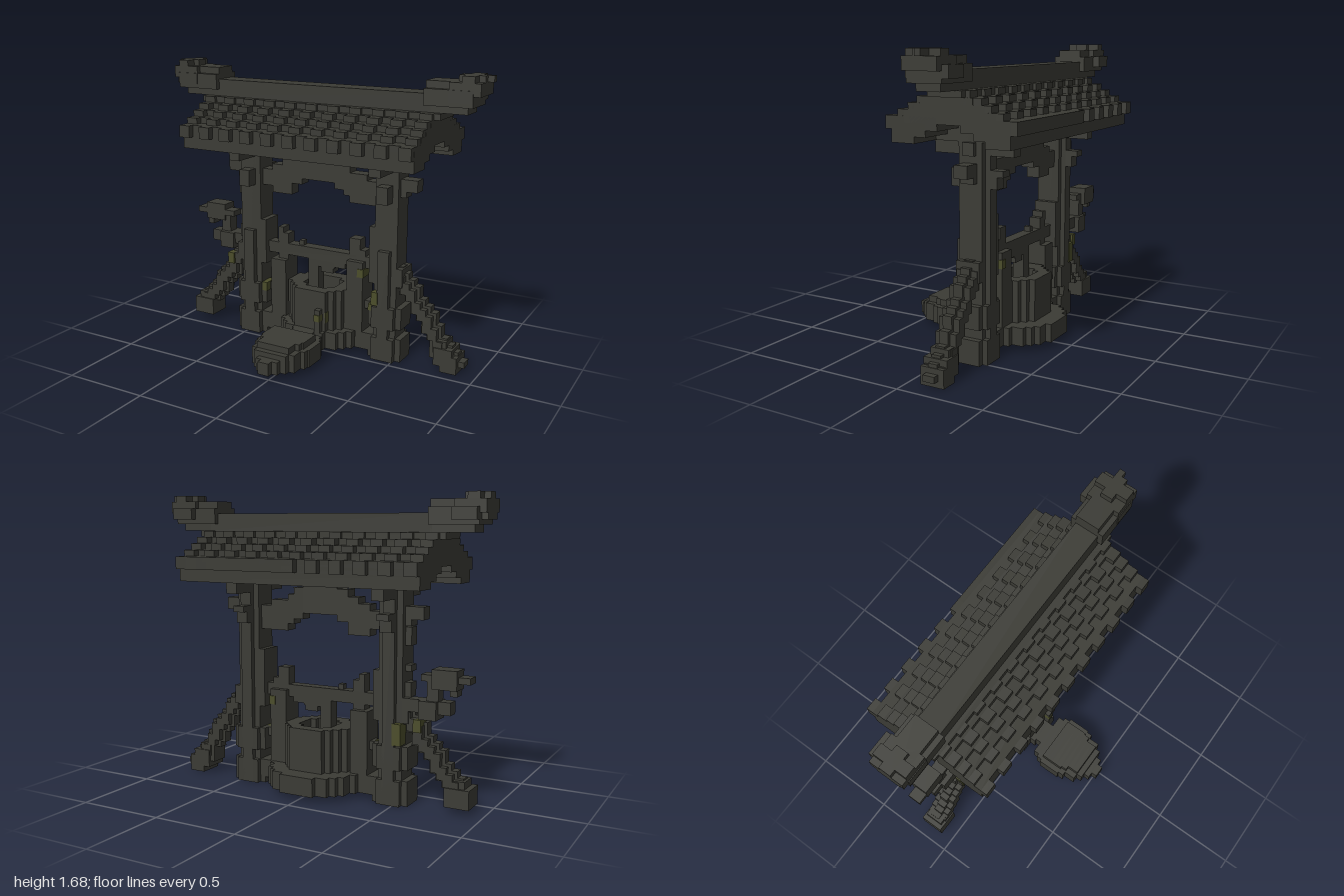
import * as THREE from 'three';
import { mergeGeometries } from 'three/addons/utils/BufferGeometryUtils.js';

const V = 0.035;   // block size
const ZC = -0.14;  // centre plane of the gate

const box = (x0, x1, y0, y1, z0, z1) => {
  const g = new THREE.BoxGeometry(x1 - x0, y1 - y0, z1 - z0);
  return g.translate((x0 + x1) / 2, (y0 + y1) / 2, (z0 + z1) / 2);
};

// Rows of blocks filling an ellipse, with an optional round hole
function disc(cx, cz, rx, rz, y0, y1, hole = 0) {
  const out = [];
  const n = Math.round(rz / V);
  for (let i = -n; i < n; i++) {
    const z = cz + i * V, t = (i + 0.5) / n;
    const w = Math.max(V, Math.round(rx * Math.sqrt(1 - t * t) / V) * V);
    const d = Math.abs(z + V / 2 - cz);
    if (d < hole) {
      const h = Math.max(V, Math.round(Math.sqrt(hole * hole - d * d) / V) * V);
      out.push(box(cx - w, cx - h, y0, y1, z, z + V), box(cx + h, cx + w, y0, y1, z, z + V));
    } else out.push(box(cx - w, cx + w, y0, y1, z, z + V));
  }
  return out;
}

export function createModel() {
  const model = new THREE.Group();
  const stone = new THREE.MeshStandardMaterial({ color: 0x3b3b35 });
  stone.name = 'darkStone';
  const moss = new THREE.MeshStandardMaterial({ color: 0x4b4d2a });
  moss.name = 'moss';

  const part = (name, geos, mat = stone) => {
    const m = new THREE.Mesh(mergeGeometries(geos), mat);
    m.name = name;
    model.add(m);
  };
  const boxes = (name, list, mat) => part(name, list.map(b => box(...b)), mat);

  // Stepped roof: [bottom, top, inner reach, outer reach, tile reach] for each slope
  const X0 = -0.757, X1 = 0.714;
  const steps = [
    [1.2, 1.27, 0.21, 0.35, 0.35], [1.235, 1.305, 0.14, 0.35, 0.387], [1.27, 1.34, 0.07, 0.35, 0.387],
    [1.305, 1.375, 0, 0.27, 0.31], [1.34, 1.41, 0, 0.205, 0.245], [1.375, 1.445, 0, 0.14, 0.19],
    [1.41, 1.48, 0, 0.105, 0.125],
  ];
  const roof = [], tiles = [];
  for (const s of [-1, 1]) {
    const slab = (x0, x1, y0, y1, a, b) =>
      box(x0, x1, y0, y1, ZC + Math.min(s * a, s * b), ZC + Math.max(s * a, s * b));
    for (const [y0, y1, a, b, t] of steps) {
      roof.push(slab(X0, X1, y0, y1, a, b));
      // Raised tile columns
      if (t > b) for (let i = 0; i < 11; i++) {
        const x = X0 + i * 0.14;
        tiles.push(slab(x, x + 0.07, Math.max(y0, 1.27), y1, b, t));
      }
    }
  }
  tiles.push(box(-0.05, X1, 1.27, 1.34, -0.527, -0.49));
  part('roof', roof);
  part('roofTiles', tiles);
  boxes('ridge', [[-0.7, 0.7, 1.48, 1.58, -0.21, -0.07]]);

  // Upturned ridge ends
  boxes('rightFinial', [
    [-0.79, -0.6, 1.445, 1.48, -0.24, -0.04],
    [-0.93, -0.69, 1.48, 1.52, -0.21, -0.07],
    [-0.965, -0.69, 1.52, 1.61, -0.24, -0.04],
    [-0.965, -0.83, 1.545, 1.61, -0.28, -0.035],
    [-1, -0.69, 1.545, 1.65, -0.21, -0.07],
    [-1, -0.83, 1.58, 1.65, -0.24, -0.04],
    [-1, -0.865, 1.65, 1.685, -0.175, -0.105],
    [-0.965, -0.9, 1.65, 1.685, -0.24, -0.04],
  ]);
  boxes('leftFinial', [
    [0.58, 0.75, 1.445, 1.48, -0.24, -0.04],
    [0.68, 0.89, 1.48, 1.52, -0.21, -0.07],
    [0.65, 0.925, 1.52, 1.61, -0.24, -0.04],
    [0.79, 0.925, 1.545, 1.61, -0.28, -0.035],
    [0.65, 0.965, 1.58, 1.65, -0.21, -0.07],
    [0.79, 0.965, 1.58, 1.65, -0.24, -0.04],
    [0.82, 0.965, 1.65, 1.685, -0.175, -0.105],
    [0.86, 0.93, 1.65, 1.685, -0.24, -0.04],
    [0.965, 1, 1.65, 1.685, -0.175, -0.14],
  ]);

  // Round-cornered posts with feet, knees, brackets and through-beams
  for (const [name, a, b] of [['rightPost', -0.545, -0.405], ['leftPost', 0.37, 0.51]]) {
    boxes(name, [
      [a, b, 0, 1.35, -0.21, -0.07],
      [a + V, b - V, 0, 1.35, -0.24, -0.07],
      [a + V, b - V, 0.14, 0.67, -0.21, -0.035],
      [a - V, b + V, 0, 0.14, -0.21, -0.07],
      [a, b, 0, 0.14, -0.24, -0.035],
      [a - V, b + V, 0.2, 0.33, -0.21, -0.07],
      [a, b, 0.2, 0.33, -0.24, -0.035],
      [a - V, b + V, 0.46, 0.57, -0.21, -0.07],
      [a + V, b - V, 1.13, 1.3, -0.38, 0.1],
      [a, b, 1.2, 1.3, -0.38, 0.1],
      [a + V, b - V, 0.955, 1.055, -0.28, 0],
      [a + V, b - V, 1.02, 1.055, -0.315, 0],
    ]);
  }
  boxes('postKnobs', [
    [-0.58, -0.54, 0.74, 0.775, -0.175, -0.105], [-0.58, -0.54, 0.6, 0.68, -0.175, -0.105],
    [-0.58, -0.54, 0.88, 0.98, -0.175, -0.105], [0.335, 0.38, 0.5, 0.8, -0.21, -0.07],
    [-0.41, -0.37, 0.5, 0.74, -0.21, -0.07], [0.5, 0.535, 1.13, 1.2, -0.175, -0.105],
  ]);

  // Arched crossbeam: columns [x0, x1, bottom, top]
  const arch = [
    [-0.65, -0.58, 1.02, 1.09], [-0.58, -0.54, 0.985, 1.09], [-0.41, -0.335, 0.955, 1.055],
    [-0.335, -0.265, 0.915, 1.09], [-0.265, -0.2, 0.915, 1.125], [-0.2, -0.13, 0.985, 1.165],
    [-0.13, 0.09, 1.02, 1.2], [0.09, 0.15, 0.985, 1.165], [0.15, 0.19, 0.955, 1.125],
    [0.19, 0.3, 0.915, 1.09], [0.3, 0.38, 0.915, 1.055], [0.5, 0.545, 0.985, 1.09], [0.545, 0.61, 1.02, 1.09],
  ];
  boxes('archedBeam', arch.map(c => [...c, -0.18, -0.1]));

  // Lower rail, its uprights and sill blocks
  boxes('rail', [
    [-0.41, 0.38, 0.53, 0.6, -0.175, -0.105], [-0.16, -0.13, 0.6, 0.63, -0.16, -0.12],
    [-0.335, -0.23, 0.14, 0.5, -0.21, -0.07], [-0.3, -0.23, 0.5, 0.665, -0.175, -0.105],
    [-0.3, -0.265, 0.66, 0.7, -0.175, -0.105], [0.19, 0.295, 0.14, 0.57, -0.21, -0.07],
    [0.19, 0.26, 0.57, 0.7, -0.175, -0.105], [0.26, 0.295, 0.57, 0.635, -0.175, -0.105],
    [-0.41, -0.335, 0.28, 0.33, -0.175, -0.105], [0.29, 0.38, 0.28, 0.33, -0.175, -0.105],
    [-0.375, -0.25, 0.035, 0.14, -0.21, -0.07], [0.25, 0.34, 0.035, 0.14, -0.21, -0.07],
  ]);

  // Well, its base and the step stone
  part('wellBase', disc(0, -0.175, 0.28, 0.245, 0.035, 0.14));
  part('wellWall', disc(0, ZC, 0.21, 0.175, 0.14, 0.385, 0.105));
  part('wellFloor', disc(0, ZC, 0.14, 0.14, 0.14, 0.25));
  boxes('wellFrontBlock', [[0.05, 0.085, 0.14, 0.28, 0, 0.07]]);
  const step = [];
  const halfWidths = [0.07, 0.14, 0.16, 0.175, 0.175, 0.175, 0.175, 0.165, 0.14, 0.14, 0.105, 0.07, 0.035];
  halfWidths.forEach((w, i) => {
    const z = 0.07 + i * V;
    step.push(box(-0.02 - w, -0.02 + w, 0.035, i > 10 ? 0.11 : 0.14, z, z + V));
    if (i > 2 && i < 10) step.push(box(-0.02 - w + V, -0.02 + w - V, 0.14, 0.178, z, z + V));
  });
  part('stepStone', step);
  boxes('ladle', [
    [-0.09, -0.02, 0.25, 0.5, -0.175, -0.105], [-0.09, 0.09, 0.49, 0.53, -0.175, -0.105],
    [0, 0.08, 0.46, 0.49, -0.175, -0.105], [0.08, 0.16, 0.5, 0.54, -0.175, -0.105],
  ]);

  // Slanting braces made of stepped blocks
  const brace = (name, xa, ya, xb, yb, feet) => {
    const out = feet.map(f => box(...f)), n = 11;
    for (let i = 0; i <= n; i++) {
      const x = Math.round((xa + (xb - xa) * i / n) / V) * V;
      const y = Math.round((ya + (yb - ya) * i / n) / V) * V;
      const r = 0.045;
      out.push(box(x - r, x + r, y - 0.05, y + 0.05, ZC - r + V / 2, ZC + r - V / 2));
      out.push(box(x - r + V / 2, x + r - V / 2, y - 0.035, y + 0.035, ZC - r - V / 2, ZC + r + V / 2));
    }
    part(name, out);
  };
  brace('rightBrace', -0.57, 0.5, -0.85, 0.1, [
    [-0.93, -0.79, 0.035, 0.14, -0.21, -0.07], [-0.9, -0.79, 0.07, 0.18, -0.195, -0.085],
  ]);
  brace('leftBrace', 0.5, 0.53, 0.84, 0.07, [
    [0.79, 0.89, 0, 0.1, -0.21, -0.07], [0.86, 0.925, 0.035, 0.07, -0.175, -0.105],
    [0.75, 0.86, 0.035, 0.14, -0.21, -0.07], [0.72, 0.82, 0.07, 0.18, -0.195, -0.085],
  ]);

  // Crooked branch beside the right post
  boxes('branch', [
    [-0.82, -0.54, 0.53, 0.6, -0.21, -0.14], [-0.75, -0.65, 0.5, 0.6, -0.24, -0.12],
    [-0.755, -0.69, 0.6, 0.74, -0.22, -0.15], [-0.93, -0.655, 0.705, 0.74, -0.22, -0.14],
    [-0.865, -0.725, 0.67, 0.775, -0.245, -0.14], [-0.86, -0.82, 0.635, 0.68, -0.22, -0.15],
  ]);

  // Moss patches
  boxes('mossPatches', [
    [-0.655, -0.61, 0.42, 0.49, -0.215, -0.065], [-0.4, -0.364, 0.28, 0.335, -0.16, -0.065],
    [0.26, 0.3, 0.48, 0.53, -0.215, -0.065], [0.37, 0.41, 0.34, 0.42, -0.1, -0.03],
    [0.335, 0.37, 0.29, 0.33, -0.14, -0.065], [0.05, 0.086, 0.21, 0.25, 0.03, 0.075],
    [0.1, 0.108, 0.195, 0.26, 0, 0.035], [-0.55, -0.5, 0.34, 0.46, -0.245, -0.17],
  ], moss);

  return model;
}
